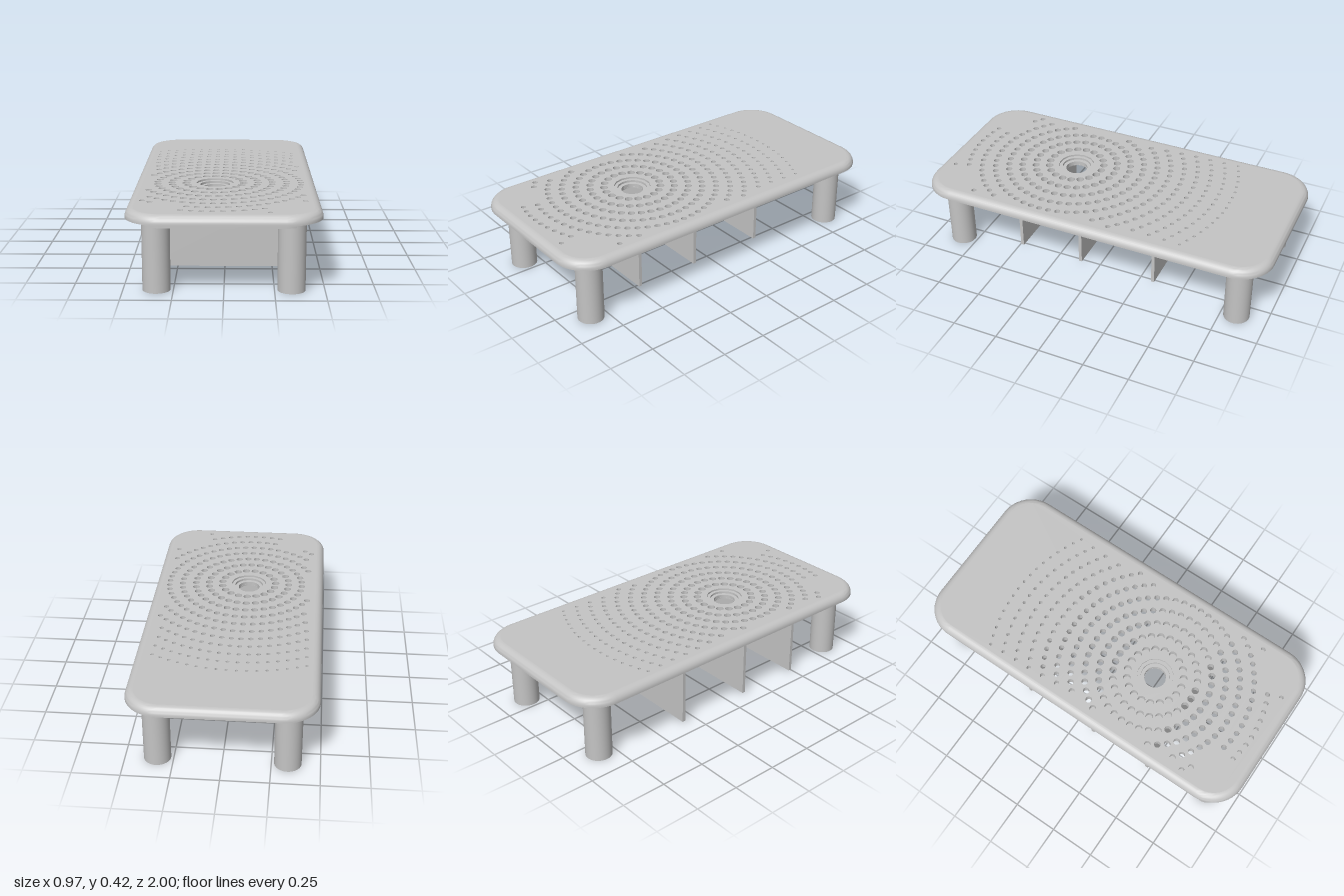
import * as THREE from 'three';
import { toCreasedNormals } from 'three/addons/utils/BufferGeometryUtils.js';

const TOP = 0.417, UNDER = 0.37, RIM = 0.335;   // plate top, plate underside, rim bottom
const FLOOR = 0.377;                            // bottom of the blind holes
const CX = -0.055, CZ = 0.285;                  // centre of the hole pattern
const LEG_X = 0.334, LEG_Z = 0.835;

// Rounded rectangle as [x, z] points around fixed corner centres.
// The chain starts and ends on the back edge.
function roundedLoop(radius, cornerZ = 0.815, steps = 12) {
  const pts = [];
  [[1, -1], [1, 1], [-1, 1], [-1, -1]].forEach(([sx, sz], c) => {
    for (let i = 0; i <= steps; i++) {
      const a = (c - 1 + i / steps) * Math.PI / 2;
      pts.push([sx * 0.301 + radius * Math.cos(a), sz * cornerZ + radius * Math.sin(a)]);
    }
  });
  return pts;
}

const toShape = (pts) => new THREE.Shape(pts.map(([x, z]) => new THREE.Vector2(x, -z)));

const circleHole = (x, z, r) => new THREE.Path().absarc(x, -z, r, 0, Math.PI * 2, false);

// Horizontal slab between two heights
function slab(shape, y0, y1, curveSegments = 8) {
  const g = new THREE.ExtrudeGeometry(shape, { depth: y1 - y0, bevelEnabled: false, curveSegments });
  g.rotateX(-Math.PI / 2).translate(0, y0, 0);
  return toCreasedNormals(g, 0.9);
}

// Sweep a [radius, y] profile around the rounded rectangle
function edgeGeometry(profile) {
  const pos = [], idx = [];
  const n = roundedLoop(0.1).length;
  profile.forEach(([r, y]) => roundedLoop(r).forEach(([x, z]) => pos.push(x, y, z)));
  for (let i = 0; i < profile.length - 1; i++) {
    for (let j = 0; j < n; j++) {
      const k = (j + 1) % n, a = i * n, b = a + n;
      idx.push(a + j, b + j, a + k, b + j, b + k, a + k);
    }
  }
  const g = new THREE.BufferGeometry();
  g.setAttribute('position', new THREE.Float32BufferAttribute(pos, 3));
  g.setIndex(idx);
  return toCreasedNormals(g, 0.7);
}

// Concentric rings of holes that shrink outward, kept clear of the edges and legs
function patternHoles() {
  const holes = [];
  for (let k = 0; k < 11; k++) {
    const ring = 0.155 + 0.0765 * k;
    const count = Math.round(2 * Math.PI * ring / 0.052);
    for (let i = 0; i < count; i++) {
      const a = -Math.PI / 2 + (i / count) * Math.PI * 2;
      const x = CX + ring * Math.cos(a), z = CZ + ring * Math.sin(a);
      const nearLeg = Math.hypot(Math.abs(x) - LEG_X, z - LEG_Z) < 0.12;
      if (Math.abs(x) > 0.413 || z > 0.92 || nearLeg) continue;
      // Only holes above two of the compartments go right through
      const through = Math.abs(x) < 0.37 && ((z > -0.31 && z < 0.085) || (z > 0.5 && z < 0.85));
      holes.push({ x, z, r: 0.0215 - 0.0013 * k, through });
    }
  }
  return holes;
}

export function createModel() {
  const group = new THREE.Group();
  const grey = new THREE.MeshStandardMaterial({ color: 0xc4c4c4 });
  grey.name = 'grey';
  const add = (name, geometry, x = 0, y = 0, z = 0) => {
    const mesh = new THREE.Mesh(geometry, grey);
    mesh.name = name;
    mesh.position.set(x, y, z);
    group.add(mesh);
  };

  // Perforated top plate, with a thin base that closes the blind holes
  const inner = 0.143;
  const holes = patternHoles();
  const perforated = (list, centreRadius) => {
    const shape = toShape(roundedLoop(inner));
    shape.holes.push(circleHole(CX, CZ, centreRadius), ...list.map((h) => circleHole(h.x, h.z, h.r)));
    return shape;
  };
  add('topPlate', slab(perforated(holes, 0.1), FLOOR, TOP, 7));
  add('plateBase', slab(perforated(holes.filter((h) => h.through), 0.06), UNDER, FLOOR, 7));

  // Rounded outer edge of the plate
  const profile = [[inner, UNDER], [0.185, UNDER]];
  for (let i = 0; i <= 8; i++) {
    const a = (i / 8) * Math.PI / 2;
    profile.push([inner + 0.042 * Math.cos(a), 0.375 + 0.042 * Math.sin(a)]);
  }
  add('plateEdge', edgeGeometry(profile));

  // Stepped seat around the central opening
  const seat = [[0.06, UNDER], [0.1, UNDER], [0.1, TOP - 0.01], [0.08, TOP - 0.01],
    [0.08, TOP - 0.022], [0.06, TOP - 0.022], [0.06, UNDER]];
  const seatGeometry = new THREE.LatheGeometry(seat.map(([r, y]) => new THREE.Vector2(r, y)), 40);
  add('centreSeat', toCreasedNormals(seatGeometry, 0.6), CX, 0, CZ);

  // Lower rim, open at the middle of the back
  const rim = toShape([[0.16, -0.915], ...roundedLoop(0.112, 0.803), [-0.16, -0.915], [-0.16, -0.88],
    [-0.385, -0.88], [-0.385, 0.87], [0.385, 0.87], [0.385, -0.88], [0.16, -0.88]]);
  add('lowerRim', slab(rim, RIM, UNDER));
  add('rimLintel', new THREE.BoxGeometry(0.32, 0.015, 0.035), 0, 0.3625, -0.8975);
  add('backTab', new THREE.BoxGeometry(0.3, 0.008, 0.04), 0, 0.366, -0.945);

  // Upright dividers, set toward one side
  for (const z of [0.48, 0.11, -0.33]) {
    add('divider', new THREE.BoxGeometry(0.695, 0.358, 0.018), -0.0675, 0.191, z);
  }

  // Round legs with a shallow recess in the foot
  const legProfile = [[0, 0.01], [0.032, 0.01], [0.032, 0], [0.07, 0], [0.07, UNDER]];
  const legGeometry = toCreasedNormals(
    new THREE.LatheGeometry(legProfile.map(([r, y]) => new THREE.Vector2(r, y)), 40), 0.6);
  for (const sx of [-1, 1]) {
    for (const sz of [-1, 1]) {
      add(sz > 0 ? 'frontLeg' : 'backLeg', legGeometry, sx * LEG_X, 0, sz * LEG_Z);
    }
  }
  return group;
}
